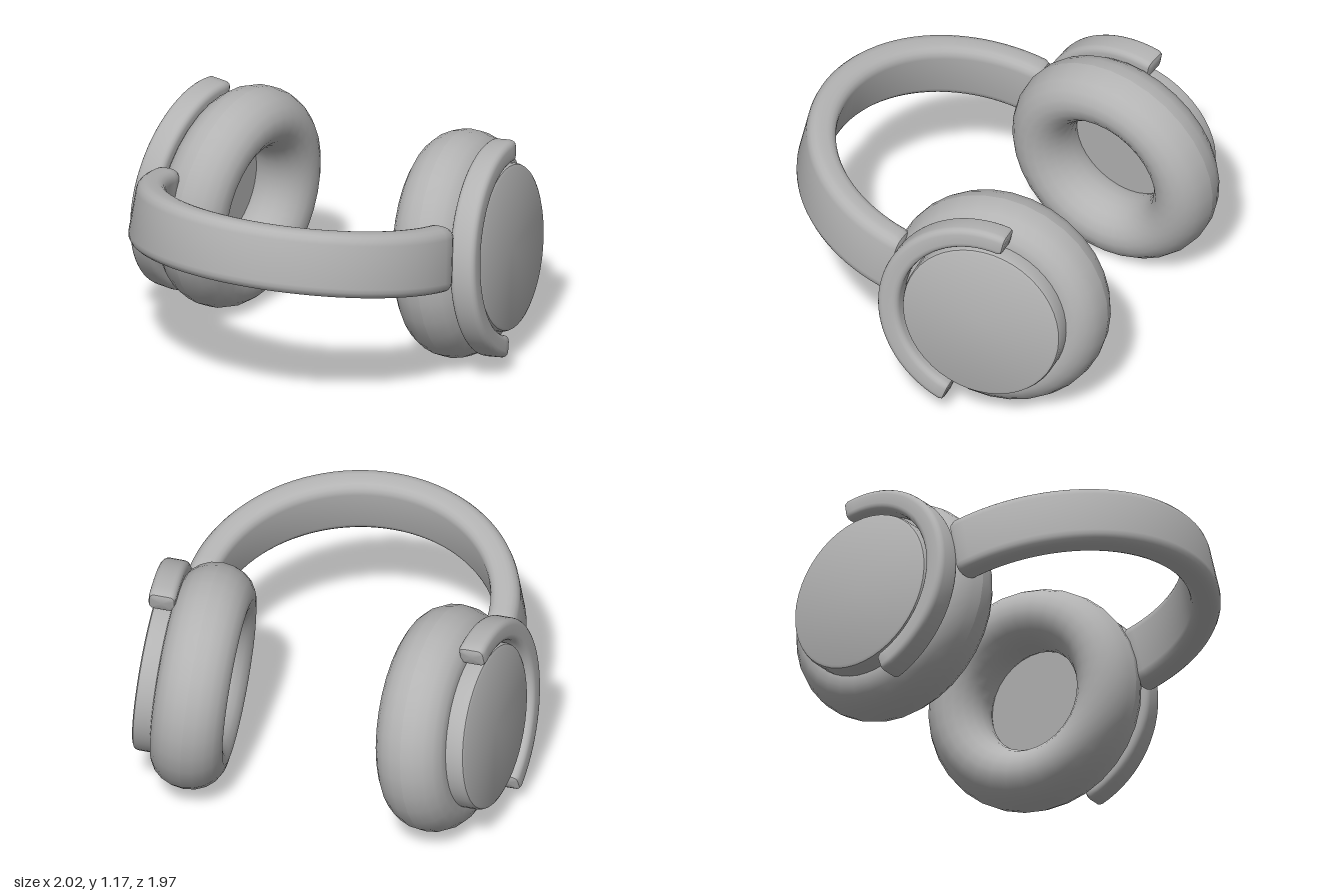
import * as THREE from 'three';
import { toCreasedNormals } from 'three/addons/utils/BufferGeometryUtils.js';

const grey = new THREE.MeshStandardMaterial({ color: 0xb3b3b3 });
grey.name = 'soft grey';

function addMesh(parent, name, geometry) {
  const mesh = new THREE.Mesh(geometry, grey);
  mesh.name = name;
  parent.add(mesh);
  return mesh;
}

// Rounded rectangle as [radial, axial] points, counter-clockwise
function section(halfW, halfH, r, steps = 4) {
  const pts = [];
  for (let c = 0; c < 4; c++) {
    const sx = c === 0 || c === 3 ? 1 : -1, sy = c < 2 ? 1 : -1;
    for (let k = 0; k <= steps; k++) {
      const a = (c + k / steps) * Math.PI / 2;
      pts.push([sx * (halfW - r) + r * Math.cos(a), sy * (halfH - r) + r * Math.sin(a)]);
    }
  }
  return pts;
}

// Rounded bar bent along a circular arc in the XY plane, with softened ends
function arcBar({ radius, start, end, halfW, halfH, corner, bevel, segments }) {
  const rings = [];
  const bevelSteps = [0, 0.5, 1].map(s => {
    const a = s * Math.PI / 2;
    return [bevel * (1 - Math.cos(a)) / radius, bevel * (1 - Math.sin(a))];
  });
  for (const [da, inset] of bevelSteps) rings.push([start + da, inset]);
  const a0 = start + bevel / radius, a1 = end - bevel / radius;
  for (let i = 1; i < segments; i++) rings.push([a0 + (a1 - a0) * i / segments, 0]);
  for (const [da, inset] of bevelSteps.reverse()) rings.push([end - da, inset]);

  const pos = [], index = [];
  let n = 0;
  for (const [a, inset] of rings) {
    const pts = section(halfW - inset, halfH - inset, Math.max(corner - inset, 0.008));
    n = pts.length;
    for (const [u, v] of pts) pos.push((radius + u) * Math.cos(a), (radius + u) * Math.sin(a), v);
  }
  for (let i = 0; i < rings.length - 1; i++) {
    for (let j = 0; j < n; j++) {
      const k = (j + 1) % n, p = i * n, q = p + n;
      index.push(p + j, q + j, p + k, p + k, q + j, q + k);
    }
  }
  // End caps
  const first = pos.length / 3, last = (rings.length - 1) * n;
  pos.push(radius * Math.cos(start), radius * Math.sin(start), 0);
  pos.push(radius * Math.cos(end), radius * Math.sin(end), 0);
  for (let j = 0; j < n; j++) {
    const k = (j + 1) % n;
    index.push(first, j, k, first + 1, last + k, last + j);
  }
  const g = new THREE.BufferGeometry();
  g.setAttribute('position', new THREE.Float32BufferAttribute(pos, 3));
  g.setIndex(index);
  return g;
}

// Lathe whose axis is z
function latheZ(points, segments) {
  return new THREE.LatheGeometry(points.map(p => new THREE.Vector2(...p)), segments).rotateX(Math.PI / 2);
}

function createCup(side) {
  const cup = new THREE.Group();
  cup.name = side > 0 ? 'leftEarCup' : 'rightEarCup';

  // Soft ring with an oval cross-section
  const oval = [];
  for (let i = 0; i <= 20; i++) {
    const a = i / 20 * Math.PI * 2;
    oval.push([0.43 + 0.157 * Math.cos(a), 0.188 * Math.sin(a)]);
  }
  addMesh(cup, 'earCushion', latheZ(oval, 32));

  // Housing: its inner face closes the cushion hole
  const profile = [[0, 0.09], [0.42, 0.09], [0.432, 0.12], [0.432, 0.262], [0.426, 0.278], [0.412, 0.285], [0, 0.285]];
  addMesh(cup, 'housing', toCreasedNormals(latheZ(profile, 48), 0.7));

  // C-shaped yoke hugging the front of the housing
  const deg = Math.PI / 180;
  const [start, end] = side > 0 ? [77, 250] : [-70, 103];
  const yoke = arcBar({
    radius: 0.505, start: start * deg, end: end * deg,
    halfW: 0.057, halfH: 0.07, corner: 0.032, bevel: 0.022, segments: 36,
  });
  addMesh(cup, 'yoke', toCreasedNormals(yoke, 0.7)).position.z = 0.235;

  // Cups toe in toward the top and back
  cup.position.set(side * 0.64, 0.595, -0.4);
  cup.lookAt(side * 1.64, 0.675, -0.5);
  return cup;
}

function createHeadband() {
  const g = arcBar({
    radius: 0.8, start: 0, end: Math.PI,
    halfW: 0.077, halfH: 0.167, corner: 0.055, bevel: 0.035, segments: 48,
  });
  // Lean the sides inward toward the top edge
  const p = g.attributes.position;
  for (let i = 0; i < p.count; i++) p.setX(i, p.getX(i) * (1 + 0.1 * p.getZ(i)));
  g.rotateX(Math.PI / 2 - 0.222);
  g.translate(0, 0.745, 0.105);
  return toCreasedNormals(g, 0.7);
}

export function createModel() {
  const model = new THREE.Group();
  model.name = 'headphones';
  addMesh(model, 'headband', createHeadband());
  for (const side of [1, -1]) model.add(createCup(side));
  return model;
}
